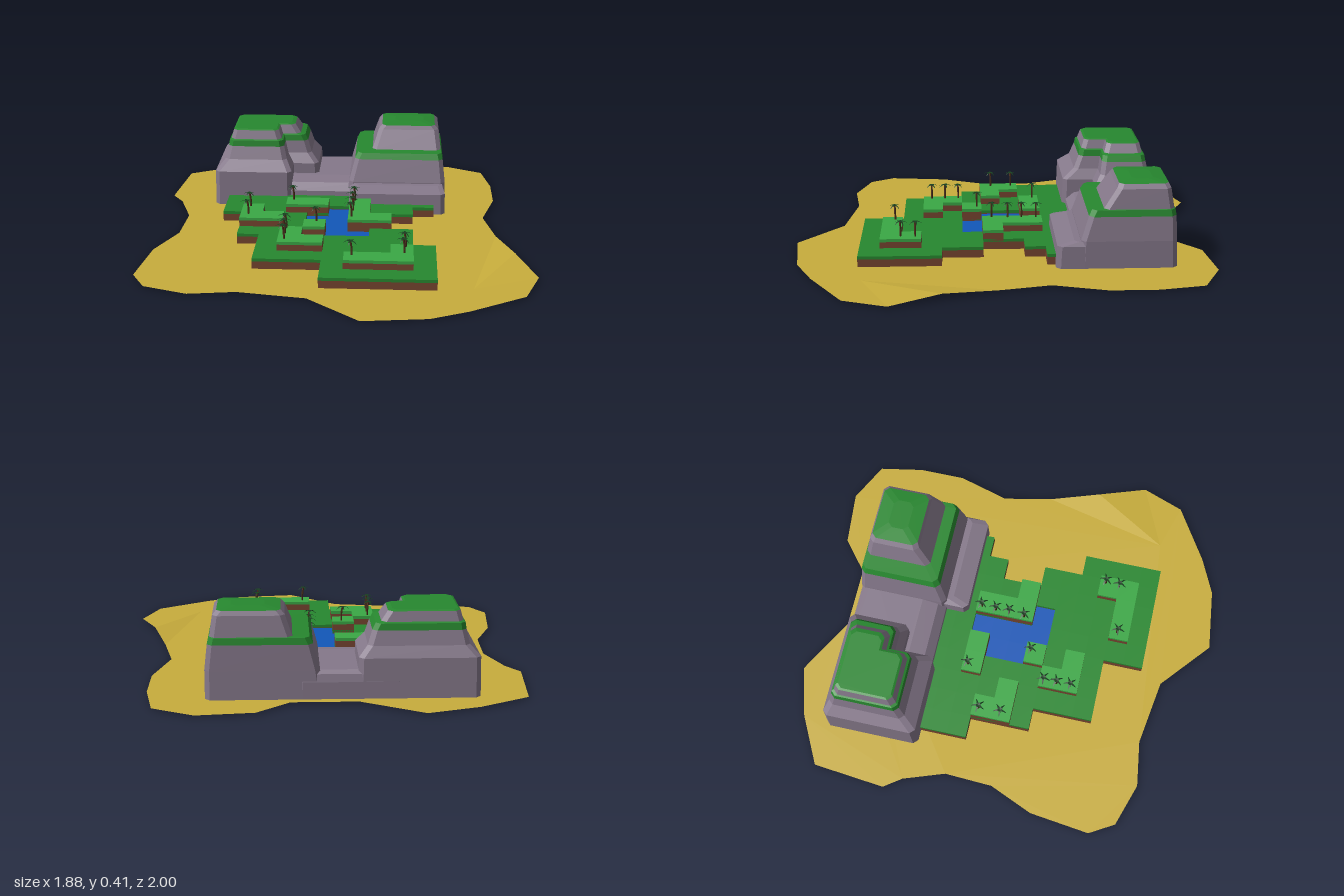
import * as THREE from 'three';

const mat = (color) => new THREE.MeshStandardMaterial({ color, flatShading: true, side: THREE.DoubleSide });
const MATS = {
  rock: mat(0x85788a), moss: mat(0x27882f), sand: mat(0xc8ad3c), soil: mat(0x774530), grass: mat(0x27882f),
  meadow: mat(0x3aa845), water: mat(0x1257b8), trunk: mat(0x4a2f1c), leaf: mat(0x17401f),
};

function meshFrom(name, positions, material) {
  const g = new THREE.BufferGeometry();
  g.setAttribute('position', new THREE.Float32BufferAttribute(positions, 3));
  g.computeVertexNormals();
  const m = new THREE.Mesh(g, material);
  m.name = name;
  return m;
}
const quad = (out, a, b, c, d) => out.push(...a, ...b, ...c, ...a, ...c, ...d);

// fills a counterclockwise loop of [x, y, z] points, facing up or down
function fill(out, loop, up = true) {
  const flat = loop.map(([x, , z]) => new THREE.Vector2(x, -z));
  for (const f of THREE.ShapeUtils.triangulateShape(flat, [])) {
    for (const i of up ? f : [f[0], f[2], f[1]]) out.push(...loop[i]);
  }
}

// footprint with chamfered outer corners; optional notch [x, z] bitten out of the front right
function footprint([y, xl, xr, zb, zf, notch], c = 0.022) {
  const p = [[xl + c, zb], [xl, zb + c], [xl, zf - c], [xl + c, zf]];
  if (notch) {
    const [xn, zn] = notch;
    p.push([xn - c, zf], [xn, zf - c], [xn, zn], [xr - c, zn], [xr, zn - c]);
  } else p.push([xr - c, zf], [xr, zf - c]);
  p.push([xr, zb + c], [xr - c, zb]);
  return p.map(([x, z]) => [x, y, z]);
}

// rock mass from stacked footprints; mossy[i] colours the band above level i
function rockMass(name, levels, mossy = []) {
  const group = new THREE.Group();
  group.name = name;
  const rock = [], moss = [];
  const loops = levels.map((l) => footprint(l));
  const last = loops.length - 1;
  fill(rock, loops[0], false);
  for (let k = 0; k < last; k++) {
    const lo = loops[k], hi = loops[k + 1];
    lo.forEach((a, i) => {
      const j = (i + 1) % lo.length;
      quad(mossy.includes(k) ? moss : rock, a, lo[j], hi[j], hi[i]);
    });
  }
  fill(mossy.includes(last) ? moss : rock, loops[last]);
  group.add(meshFrom(name + 'Rock', rock, MATS.rock));
  if (moss.length) group.add(meshFrom(name + 'Moss', moss, MATS.moss));
  return group;
}

// grid of square plots; each layer draws only exposed sides
const gx = (i) => -0.615 + 0.108 * i;
const gz = (j) => -0.11 + 0.0983 * j;
function plots(name, cells, y0, y1, material, bottom = false) {
  const has = new Set(cells.map(String)), out = [];
  for (const [i, j] of cells) {
    const a = gx(i), b = gx(i + 1), c = gz(j), d = gz(j + 1);
    quad(out, [a, y1, c], [a, y1, d], [b, y1, d], [b, y1, c]);
    if (bottom) quad(out, [a, y0, c], [b, y0, c], [b, y0, d], [a, y0, d]);
    const sides = [[i, j + 1, a, d, b, d], [i + 1, j, b, d, b, c], [i, j - 1, b, c, a, c], [i - 1, j, a, c, a, d]];
    for (const [ni, nj, x0, z0, x1, z1] of sides) {
      if (!has.has(`${ni},${nj}`)) quad(out, [x0, y0, z0], [x1, y0, z1], [x1, y1, z1], [x0, y1, z0]);
    }
  }
  return meshFrom(name, out, material);
}

function sandIsland() {
  const outline = [
    [-0.9, -0.81], [-0.67, -0.93], [-0.43, -1], [-0.15, -0.845], [0.15, -0.845], [0.3, -0.97], [0.56, -0.995],
    [0.75, -0.9], [0.79, -0.685], [0.79, -0.46], [0.72, -0.21], [0.77, 0.03], [0.63, 0.65], [0.935, 0.515],
    [0.86, 0.72], [0.6, 0.88], [0.425, 0.96], [0.125, 0.995], [-0.12, 0.785], [-0.44, 0.735], [-0.66, 0.765],
    [-0.87, 0.695], [-0.94, 0.575], [-0.905, 0.28], [-0.815, 0.065], [-0.805, -0.17], [-0.875, -0.37], [-0.935, -0.455],
  ].reverse();
  const out = [];
  fill(out, outline.map(([x, z]) => [x, 0.008, z]));
  // low dune on the shore
  const peak = [0.845, 0.027, 0.28], inner = [0.63, 0.008, 0.65];
  out.push(0.77, 0.008, 0.03, ...inner, ...peak, ...peak, ...inner, 0.935, 0.008, 0.515);
  return meshFrom('sandIsland', out, MATS.sand);
}

function palm(x, z, turn) {
  const tree = new THREE.Group();
  tree.name = 'palmTree';
  const curve = new THREE.QuadraticBezierCurve3(
    new THREE.Vector3(0, 0, 0), new THREE.Vector3(0.002, 0.04, 0), new THREE.Vector3(-0.006, 0.07, 0));
  const trunk = new THREE.Mesh(new THREE.TubeGeometry(curve, 4, 0.005, 5), MATS.trunk);
  trunk.name = 'palmTrunk';
  tree.add(trunk);
  // drooping tapered frond
  const leaf = new THREE.PlaneGeometry(0.034, 0.012, 3, 1).rotateX(-Math.PI / 2).translate(0.017, 0, 0);
  const p = leaf.attributes.position;
  for (let i = 0; i < p.count; i++) {
    const r = p.getX(i);
    p.setY(i, 0.35 * r - 18 * r * r);
    p.setZ(i, p.getZ(i) * (1.15 - 28 * r));
  }
  leaf.computeVertexNormals();
  for (let k = 0; k < 5; k++) {
    const frond = new THREE.Mesh(leaf, MATS.leaf);
    frond.name = 'palmFrond';
    frond.position.set(-0.006, 0.071, 0);
    frond.rotation.y = (k * 2 * Math.PI) / 5 + 0.3;
    tree.add(frond);
  }
  tree.position.set(x, 0.105, z);
  tree.rotation.y = turn;
  return tree;
}

export function createModel() {
  const model = new THREE.Group();
  model.name = 'island';
  model.add(sandIsland());

  // lower ground: [row, first column, end column]
  const lower = [];
  for (const [j, from, to] of [[-3, 0, 10], [-2, 0, 10], [-1, 0, 9], [0, 1, 8], [1, 1, 8], [2, 1, 9],
    [3, 2, 9], [4, 2, 10], [5, 2, 10], [6, 5, 10], [7, 5, 10]]) {
    for (let i = from; i < to; i++) lower.push([i, j]);
  }
  const pond = [[5, -1], [4, 0], [5, 0], [4, 1], [5, 1], [5, 2], [6, 2]];
  const dry = lower.filter((c) => !pond.some((w) => String(w) === String(c)));
  model.add(plots('lowerSoil', lower, 0, 0.03, MATS.soil, true));
  model.add(plots('lowerSoilRim', dry, 0.03, 0.045, MATS.soil));
  model.add(plots('lowerGrass', dry, 0.045, 0.06, MATS.grass));
  model.add(plots('pondWater', pond, 0.03, 0.042, MATS.water));

  // raised ground
  const upper = [[3, -1], [4, -1], [6, -1], [1, 0], [6, 0], [1, 1], [2, 1], [6, 1], [7, 1], [4, 2], [3, 3],
    [3, 4], [4, 4], [8, 5], [6, 6], [7, 6], [8, 6]];
  model.add(plots('upperSoil', upper, 0.042, 0.09, MATS.soil));
  model.add(plots('upperGrass', upper, 0.09, 0.105, MATS.meadow));

  // mountains: [y, left x, right x, back z, front z, notch]
  model.add(rockMass('westMountain', [
    [0.005, -0.69, -0.145, -0.81, -0.34, [-0.285, -0.5]],
    [0.19, -0.687, -0.15, -0.805, -0.345, [-0.285, -0.5]],
    [0.24, -0.64, -0.19, -0.78, -0.405, [-0.315, -0.53]],
    [0.305, -0.625, -0.21, -0.765, -0.43, [-0.33, -0.54]],
    [0.335, -0.62, -0.225, -0.76, -0.435, [-0.335, -0.545]],
    [0.34, -0.612, -0.25, -0.75, -0.445, [-0.345, -0.555]],
    [0.385, -0.6, -0.28, -0.74, -0.46, [-0.36, -0.57]],
    [0.39, -0.59, -0.3, -0.73, -0.47, [-0.37, -0.58]],
  ], [3, 4, 6, 7]));
  model.add(rockMass('eastMountain', [
    [0.005, 0, 0.525, -0.81, -0.355],
    [0.14, 0.02, 0.525, -0.805, -0.36],
    [0.255, 0.05, 0.512, -0.8, -0.395],
    [0.285, 0.065, 0.505, -0.795, -0.41],
    [0.287, 0.14, 0.502, -0.79, -0.465],
    [0.38, 0.172, 0.488, -0.775, -0.525],
    [0.4, 0.19, 0.47, -0.765, -0.535],
    [0.408, 0.26, 0.41, -0.7, -0.6],
  ], [2, 3, 6, 7]));
  model.add(rockMass('eastTerrace', [
    [0.005, 0.02, 0.525, -0.5, -0.245],
    [0.115, 0.025, 0.523, -0.5, -0.25],
    [0.135, 0.05, 0.51, -0.5, -0.33],
  ]));
  model.add(rockMass('valleySaddle', [
    [0.005, -0.35, 0.12, -0.81, -0.355],
    [0.085, -0.35, 0.12, -0.808, -0.36],
    [0.12, -0.35, 0.12, -0.8, -0.4],
    [0.135, -0.35, 0.12, -0.78, -0.48],
  ]));

  // palms
  [[-0.256, -0.18], [-0.467, -0.077], [-0.467, 0.03], [0.06, -0.18], [0.055, -0.108], [0.055, -0.04], [0.05, 0.04],
    [-0.12, 0.11], [-0.26, 0.204], [-0.26, 0.272], [-0.26, 0.34], [0.07, 0.516], [0.32, 0.41], [0.314, 0.48],
  ].forEach(([x, z], k) => model.add(palm(x, z, (k % 3) * 0.2)));
  return model;
}
